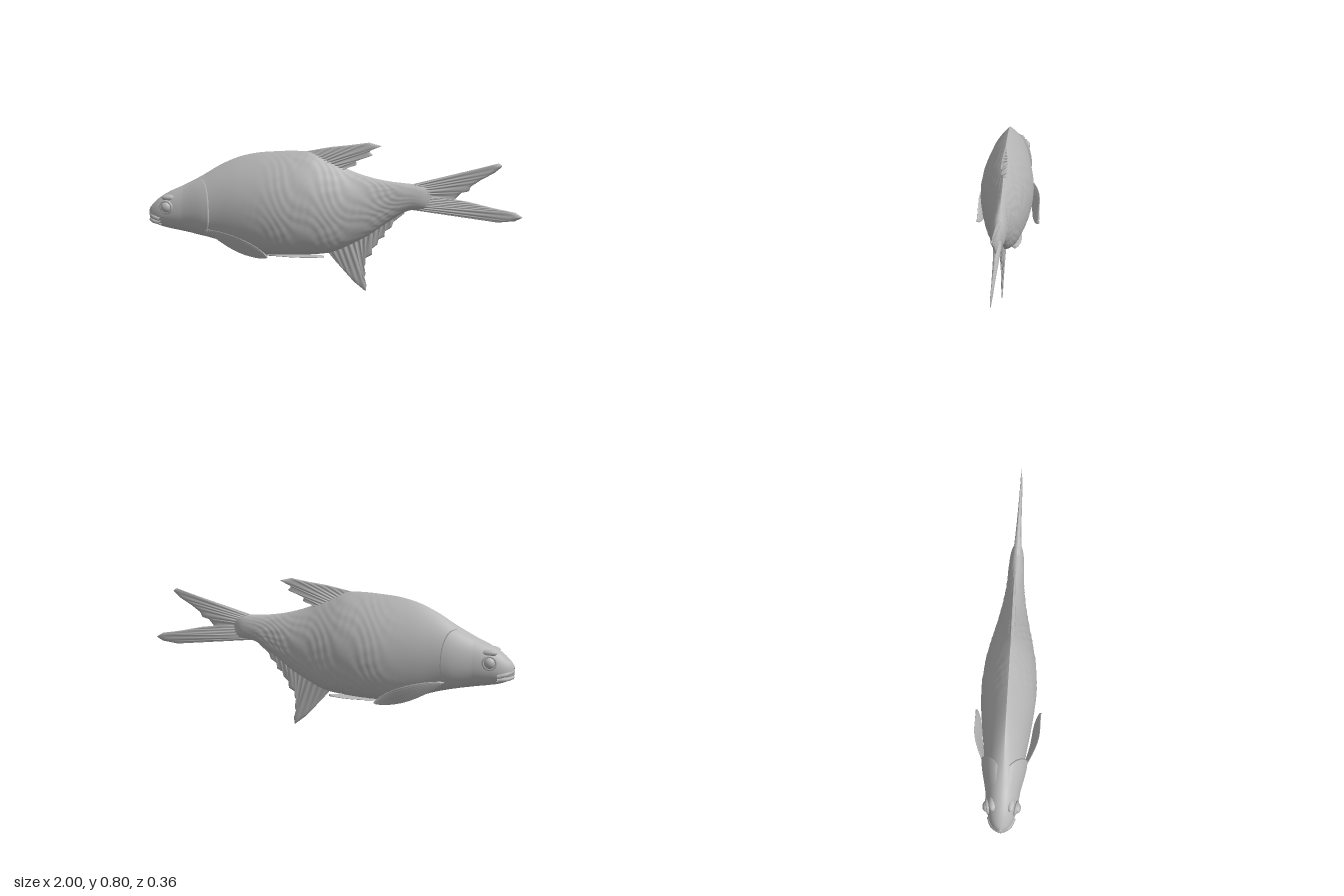
import * as THREE from 'three';
import { mergeVertices } from 'three/addons/utils/BufferGeometryUtils.js';

const grey = new THREE.MeshStandardMaterial({ color: 0xb6b6b6, side: THREE.DoubleSide });
grey.name = 'grey';

// Body stations: x, belly height, back height, half width
const stations = [
  [-0.995, 0.37, 0.42, 0.012], [-0.975, 0.345, 0.445, 0.04], [-0.93, 0.325, 0.485, 0.064],
  [-0.87, 0.312, 0.52, 0.078], [-0.8, 0.3, 0.552, 0.088], [-0.7, 0.28, 0.605, 0.098],
  [-0.6, 0.255, 0.665, 0.108], [-0.5, 0.222, 0.71, 0.122], [-0.4, 0.195, 0.735, 0.134],
  [-0.3, 0.186, 0.745, 0.142], [-0.2, 0.188, 0.75, 0.14], [-0.1, 0.198, 0.745, 0.128],
  [0, 0.212, 0.705, 0.108], [0.1, 0.255, 0.655, 0.084], [0.2, 0.31, 0.622, 0.062],
  [0.3, 0.382, 0.602, 0.046], [0.4, 0.445, 0.592, 0.04], [0.48, 0.458, 0.588, 0.032],
  [0.54, 0.465, 0.58, 0.006],
];
const spline = (k) => new THREE.SplineCurve(stations.map((s) => new THREE.Vector2(s[0], s[k])));
const [belly, back, width] = [1, 2, 3].map(spline);

// Surface point at station parameter t and angle a, pushed outwards by offset
function skin(t, a, offset = 0) {
  const { x, y: lo } = belly.getPoint(t);
  const hi = back.getPoint(t).y, w = width.getPoint(t).y;
  const mid = lo + (hi - lo) * 0.44;
  const s = Math.sin(a), c = Math.cos(a);
  const ridge = THREE.MathUtils.smoothstep(x, -0.85, -0.4) * (1 - THREE.MathUtils.smoothstep(x, 0.1, 0.4));
  const power = s > 0 ? 1 + 0.85 * ridge : 0.9;
  return new THREE.Vector3(
    x,
    mid + s * (s > 0 ? hi - mid : mid - lo) + s * offset,
    Math.sign(c) * w * Math.pow(Math.abs(c), power) + c * offset,
  );
}

function paramAt(x) {
  let lo = 0, hi = 1;
  for (let i = 0; i < 30; i++) {
    const m = (lo + hi) / 2;
    if (belly.getPoint(m).x < x) lo = m; else hi = m;
  }
  return lo;
}

// Smooth surface from a rule of two parameters in 0..1
function surface(nu, nv, rule) {
  const pos = [], index = [];
  for (let i = 0; i <= nu; i++) {
    for (let j = 0; j <= nv; j++) {
      pos.push(...rule(i / nu, j / nv).toArray());
      if (i < nu && j < nv) {
        const a = i * (nv + 1) + j, b = a + nv + 1;
        index.push(a, b, a + 1, b, b + 1, a + 1);
      }
    }
  }
  let g = new THREE.BufferGeometry();
  g.setAttribute('position', new THREE.Float32BufferAttribute(pos, 3));
  g.setIndex(index);
  g = mergeVertices(g, 1e-5);
  g.computeVertexNormals();
  return g;
}

function polyline(points) {
  const path = new THREE.CurvePath();
  const v = points.map((p) => new THREE.Vector2(...p));
  for (let i = 1; i < v.length; i++) path.add(new THREE.LineCurve(v[i - 1], v[i]));
  return path;
}

// Upright fin: rays run from the root line to the tip line, thinning outwards
function rayFin(root, tip, thick, rays) {
  const r = polyline(root), e = polyline(tip);
  return surface(rays * 6, 24, (u, v) => {
    const s = 1 - Math.abs(1 - 2 * v);
    const a = r.getPointAt(u), b = e.getPointAt(u);
    const p = a.lerp(b, s);
    const ridge = 0.8 + 0.2 * Math.cos(u * rays * Math.PI * 2);
    const edge = Math.pow(Math.sin(Math.PI * Math.min(1, Math.max(0, u))) + 1e-9, 0.3);
    const z = (thick * Math.pow(1 - s, 1.3) + (s < 1 ? 0.004 : 0)) * ridge * edge;
    return new THREE.Vector3(p.x, p.y, v < 0.5 ? z : -z);
  });
}

// Paired fin: a ribbed leaf placed by a rule of length u and breadth w
function leafFin(place, normal) {
  return surface(36, 64, (u, v) => {
    const w = Math.cos(v * Math.PI * 2);
    const th = 0.006 * Math.sin(v * Math.PI * 2) * (0.85 + 0.15 * Math.cos(w * 28));
    return place(u, w).addScaledVector(normal, th);
  });
}

export function createModel() {
  const fish = new THREE.Group();
  fish.name = 'fish';
  const add = (geometry, name, sign = 1) => {
    const m = new THREE.Mesh(geometry, grey);
    m.name = name;
    m.scale.z = sign;
    fish.add(m);
    return m;
  };
  const pair = (geometry, name) => {
    add(geometry, name + 'Left', 1);
    add(geometry, name + 'Right', -1);
  };

  // Body with faint scale relief behind the head
  add(surface(200, 96, (u, v) => {
    const a = v * Math.PI * 2, x = belly.getPoint(u).x;
    const fade = THREE.MathUtils.smoothstep(x, -0.5, -0.2) * (1 - THREE.MathUtils.smoothstep(x, 0.3, 0.5));
    const bump = Math.sin(x * 95 + 2 * Math.sin(a * 5)) * Math.sin(a * 17 + 3 * Math.sin(x * 23));
    return skin(u, a, 0.0022 * fade * bump * Math.abs(Math.cos(a)));
  }), 'body');

  // Gill covers: raised plates ending in a rounded step
  pair(surface(24, 40, (u, v) => {
    const a = -1.25 + 2.45 * v;
    const edge = -0.645 - 0.06 * Math.pow(Math.abs((a + 0.05) / 1.2), 2.2);
    const k = Math.min(1, u / 0.92);
    const x = -0.82 + (edge + 0.82) * k + (u > 0.92 ? 0.006 : 0);
    const rim = Math.pow(Math.sin(Math.PI * v), 0.5) || 0;
    const off = u > 0.97 ? -0.012 : 0.015 * THREE.MathUtils.smoothstep(k, 0, 0.9) * rim - 0.001;
    return skin(paramAt(x), a, off);
  }), 'gillCover');

  // Eyes and their low sockets
  for (const s of [1, -1]) {
    const side = s > 0 ? 'Left' : 'Right';
    const eye = add(new THREE.SphereGeometry(0.028, 24, 16), 'eye' + side);
    eye.position.set(-0.882, 0.44, s * 0.076);
    eye.scale.z = 0.75;
    const socket = add(new THREE.TorusGeometry(0.032, 0.007, 10, 32), 'eyeSocket' + side);
    socket.position.set(-0.882, 0.44, s * 0.073);
    socket.rotation.y = -s * 0.2;
    const brow = add(new THREE.SphereGeometry(0.03, 16, 12), 'brow' + side);
    brow.position.set(-0.87, 0.486, s * 0.045);
    brow.scale.set(1.5, 0.6, 0.7);
  }

  // Lips wrapping the snout
  const lip = (y, front, drop, r) => new THREE.TubeGeometry(new THREE.CatmullRomCurve3(
    [[-0.92, y - drop, 0.062], [-0.96, y - drop / 2, 0.045], [front, y, 0], [-0.96, y - drop / 2, -0.045], [-0.92, y - drop, -0.062]]
      .map((p) => new THREE.Vector3(...p))), 32, r, 10);
  add(lip(0.39, -0.987, 0.02, 0.012), 'upperLip');
  add(lip(0.36, -0.987, 0.008, 0.011), 'lowerLip');

  // Dorsal fin
  add(rayFin(
    [[-0.16, 0.72], [0, 0.69], [0.1, 0.635]],
    [[-0.13, 0.75], [0, 0.775], [0.1, 0.787], [0.2, 0.802], [0.265, 0.785], [0.2, 0.757], [0.22, 0.735],
      [0.13, 0.703], [0.135, 0.68], [0.045, 0.662], [0.1, 0.65]],
    0.014, 12), 'dorsalFin');

  // Anal fin with a ragged trailing edge
  add(rayFin(
    [[-0.03, 0.225], [0.1, 0.27], [0.25, 0.36], [0.37, 0.455]],
    [[0.02, 0.165], [0.12, 0.055], [0.185, 0.003], [0.19, 0.04], [0.17, 0.06], [0.185, 0.1], [0.165, 0.12], [0.185, 0.155],
      [0.175, 0.18], [0.22, 0.205], [0.21, 0.23], [0.25, 0.265], [0.245, 0.285], [0.285, 0.305],
      [0.28, 0.33], [0.32, 0.355], [0.33, 0.385], [0.39, 0.435]],
    0.014, 14), 'analFin');

  // Forked tail fin
  add(rayFin(
    [[0.43, 0.59], [0.45, 0.52], [0.43, 0.452]],
    [[0.83, 0.697], [0.87, 0.71], [0.89, 0.695], [0.85, 0.66], [0.78, 0.62], [0.73, 0.585], [0.72, 0.56],
      [0.68, 0.55], [0.65, 0.515], [0.72, 0.505], [0.85, 0.475], [0.96, 0.455], [1, 0.43], [0.96, 0.41], [0.87, 0.4]],
    0.022, 16), 'tailFin');

  // Pectoral fins, swept back and tilted along the flanks
  pair(leafFin((u, w) => {
    const h = 0.046 * Math.pow(Math.sin(Math.PI * Math.pow(u, 1.2)) + 1e-9, 0.6);
    return new THREE.Vector3(
      -0.66 + 0.35 * u,
      0.328 - 0.118 * u + h * w,
      0.098 + 0.075 * Math.sin(Math.min(1, u * 1.5) * Math.PI / 2) + 0.45 * h * (w - 1));
  }, new THREE.Vector3(0, -0.4, 0.9)), 'pectoralFin');

  // Pelvic fins, lying flat under the belly
  pair(leafFin((u, w) => {
    const h = 0.04 * Math.pow(Math.sin(Math.PI * Math.pow(u, 1.3)) + 1e-9, 0.6);
    return new THREE.Vector3(-0.35 + 0.32 * u, 0.192 + 0.006 * u, 0.035 + 0.02 * u + h * w);
  }, new THREE.Vector3(0, 1, 0)), 'pelvicFin');

  return fish;
}
